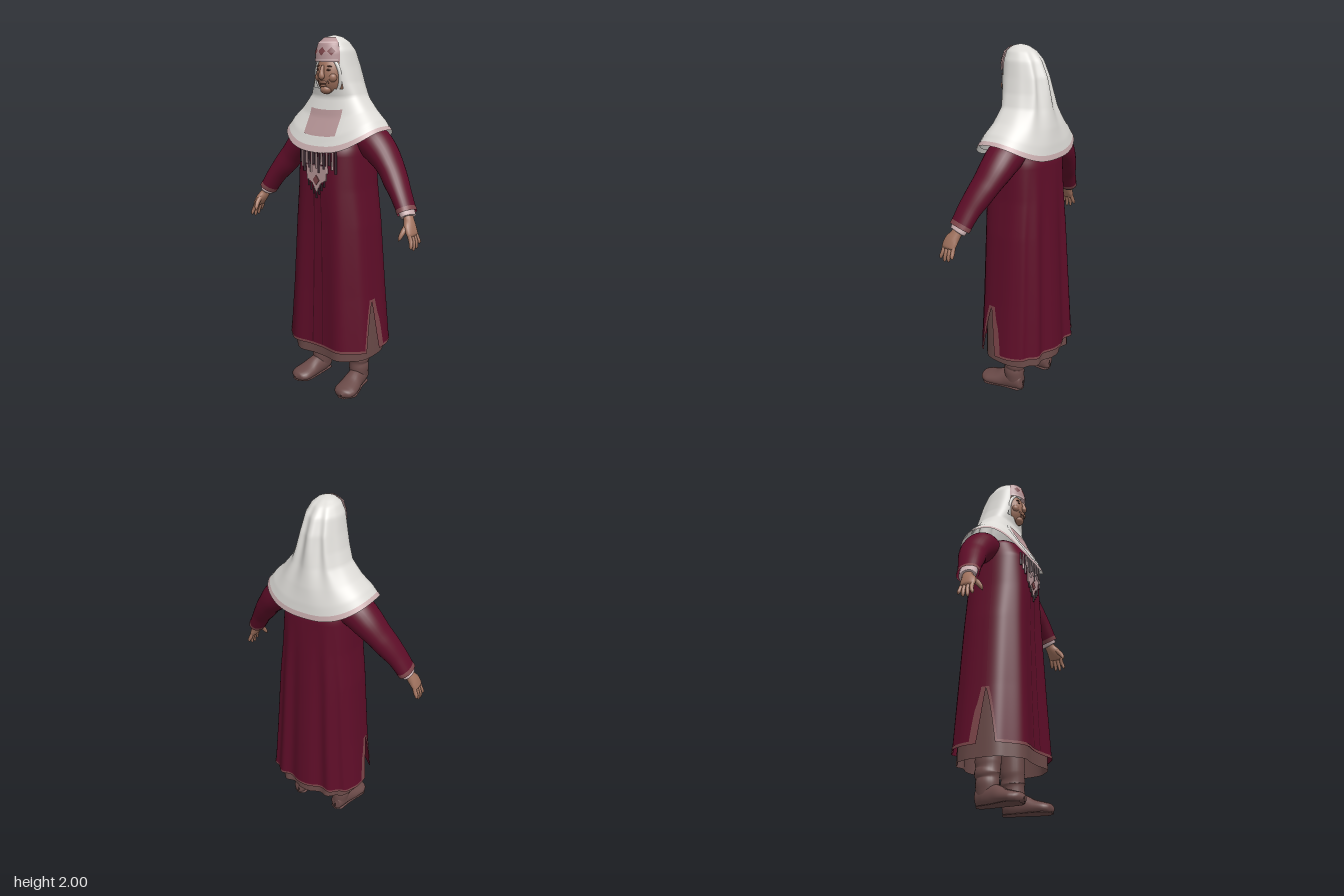
import * as THREE from 'three';
import { mergeVertices } from 'three/addons/utils/BufferGeometryUtils.js';

const mat = (name, color) =>
  new THREE.MeshStandardMaterial({ name, color, side: THREE.DoubleSide });
const M = {
  robe: mat('crimson cloth', 0x5e0d28), seam: mat('dark crimson seam', 0x3e0819),
  trim: mat('rose brown trim', 0x7c4549), brown: mat('brown cloth and leather', 0x6a4a48),
  skin: mat('skin', 0xa0725e), skinDark: mat('skin lines', 0x6a4436),
  veil: mat('white linen', 0xdedcd8), veilTrim: mat('pale pink edging', 0xcbb0b1),
  pink: mat('pink embroidery', 0xb79698), metal: mat('dark ornament', 0x4c3640),
};

// Surface from f(u, v), with v running downward and u counterclockwise from above
function grid(nu, nv, f) {
  const pos = [], idx = [];
  for (let j = 0; j <= nv; j++) for (let i = 0; i <= nu; i++) pos.push(...f(i / nu, j / nv));
  for (let j = 0; j < nv; j++) for (let i = 0; i < nu; i++) {
    const a = j * (nu + 1) + i, c = a + nu + 1;
    idx.push(a, c, a + 1, a + 1, c, c + 1);
  }
  let g = new THREE.BufferGeometry();
  g.setAttribute('position', new THREE.Float32BufferAttribute(pos, 3));
  g.setIndex(idx);
  g = mergeVertices(g, 1e-5);
  g.computeVertexNormals();
  return g;
}

// Interpolated row of a table keyed by its first column (ascending)
function row(table, t) {
  let i = 1;
  while (i < table.length - 1 && table[i][0] < t) i++;
  const a = table[i - 1], b = table[i];
  const k = THREE.MathUtils.clamp((t - a[0]) / (b[0] - a[0]), 0, 1);
  return a.map((n, c) => n + (b[c] - n) * k);
}
const spow = (n, p) => Math.sign(n) * Math.abs(n) ** p;
const { lerp } = THREE.MathUtils;

// Tapered limb through points [x, y, z, radiusAcross, radiusAlongRef]
function limb(pts, ref = [0, 0, 1], floor = -9, n = 20, m = 18) {
  const c = new THREE.CatmullRomCurve3(pts.map(p => new THREE.Vector3(p[0], p[1], p[2])));
  const r = new THREE.CatmullRomCurve3(pts.map(p => new THREE.Vector3(p[3], p[4], 0)));
  return grid(m, n, (u, v) => {
    const t = c.getTangent(v), p = c.getPoint(v), q = r.getPoint(v);
    const b = new THREE.Vector3(...ref).addScaledVector(t, -t.dot(new THREE.Vector3(...ref))).normalize();
    const w = new THREE.Vector3().crossVectors(b, t), a = u * Math.PI * 2;
    p.addScaledVector(w, q.x * Math.cos(a)).addScaledVector(b, -q.y * Math.sin(a));
    return [p.x, Math.max(p.y, floor), p.z];
  });
}

// Robe: height, half width, front z, back z, fold depth
const ROBE = [
  [0.22, 0.3, 0.215, -0.215, 0.014], [0.6, 0.265, 0.203, -0.2, 0.012], [1, 0.234, 0.195, -0.183, 0.008],
  [1.2, 0.21, 0.196, -0.175, 0.004], [1.4, 0.198, 0.193, -0.165, 0], [1.5, 0.18, 0.145, -0.135, 0],
  [1.56, 0.09, 0.08, -0.07, 0],
];
const RP = 0.72;
function robePoint(a, y, grow = 0) {
  const [, hx, zf, zb, amp] = row(ROBE, y), c = Math.cos(a);
  const fold = amp * Math.abs(c) * (c > 0 ? -Math.cos(7 * a) : Math.cos(13 * (a - Math.PI)));
  const z = c > 0 ? zf + grow + fold : -zb + grow + fold;
  return [(hx + grow) * spow(Math.sin(a), RP), y, z * spow(c, RP)];
}
const robeAngle = (x, y) => Math.asin(spow(x / row(ROBE, y)[1], 1 / RP));
const robeZ = (x, y) => robePoint(robeAngle(x, y), y)[2];
// Side slit between the front and back panels
const slit = y => Math.max(0, (0.57 - y) / 0.29);
const frontEdge = y => 1.44 - 0.26 * slit(y) ** 0.8;
const backEdge = y => 1.44 + 0.12 * slit(y) ** 0.8;

// Veil: v, height, half width, front z, back z, share of hem drop
const VEIL = [
  [0, 2, 0, 0.04, 0.04, 0], [0.06, 1.99, 0.042, 0.085, 0, 0], [0.14, 1.965, 0.072, 0.115, -0.045, 0],
  [0.24, 1.92, 0.096, 0.125, -0.085, 0], [0.36, 1.84, 0.112, 0.125, -0.118, 0],
  [0.5, 1.76, 0.132, 0.115, -0.135, 0], [0.62, 1.69, 0.158, 0.1, -0.15, 0.1],
  [0.75, 1.62, 0.215, 0.13, -0.172, 0.35], [0.88, 1.57, 0.267, 0.178, -0.187, 0.7],
  [1, 1.52, 0.305, 0.207, -0.195, 1],
];
const OPENING = [[0, 0], [0.09, 0], [0.13, 0.55], [0.2, 0.8], [0.5, 0.72], [0.75, 0.6], [0.89, 0.42], [0.94, 0]];
const veilPower = v => 1 - 0.22 * v;
function veilPoint(a, v, k = 1) {
  const [, y, hx, zf, zb, s] = row(VEIL, v), c = Math.cos(a), p = veilPower(v), zc = 0.04 * (1 - v);
  const fold = c < 0 ? 0.013 * Math.sin(Math.PI * Math.min(1, v * 1.05)) ** 2 * Math.cos(9 * (a - Math.PI)) * -c : 0;
  const z = zc + spow(c, p) * (c > 0 ? zf - zc : zc - zb + fold);
  return [hx * k * spow(Math.sin(a), p), y - s * c * c * (c > 0 ? 0.12 : 0.1), z * k];
}

export function createModel() {
  const model = new THREE.Group();
  const add = (name, geo, m, parent = model) => {
    const mesh = new THREE.Mesh(geo, m);
    mesh.name = name;
    parent.add(mesh);
    return mesh;
  };
  const ball = (name, m, p, s, parent) => {
    const b = add(name, new THREE.SphereGeometry(1, 24, 18), m, parent);
    b.position.set(...p);
    b.scale.set(...s);
    return b;
  };

  // Robe panels, hem bands and slit edging
  const TOP = 1.56, HEM = 0.28, PI = Math.PI;
  const front = (u, y, g) => robePoint(lerp(-frontEdge(y), frontEdge(y), u), y, g);
  const back = (u, y, g) => robePoint(lerp(backEdge(y), 2 * PI - backEdge(y), u), y, g);
  for (const [name, f] of [['Front', front], ['Back', back]]) {
    add('robe' + name, grid(72, 64, (u, v) => f(u, lerp(TOP, HEM, v))), M.robe);
    add('hemBand' + name, grid(72, 1, (u, v) => f(u, lerp(0.295, HEM, v), 0.003)), M.trim);
    for (const s of [0, 1]) add('slitEdging' + name, grid(2, 16, (u, v) =>
      f(s ? 1 - 0.025 * (1 - u) : 0.025 * u, lerp(0.58, HEM, v), 0.003)), M.trim);
  }
  for (const x of [-0.035, 0.035]) add('frontSeam', grid(1, 40, (u, v) => {
    const y = lerp(1.3, 0.3, v);
    return robePoint(robeAngle(x * (0.6 + 0.4 * v) + (u - 0.5) * 0.005, y), y, 0.002);
  }), M.seam);

  // Underskirt showing below the hem and in the slits
  add('underskirt', grid(96, 8, (u, v) => {
    const y = lerp(0.62, 0.22, v), p = robePoint(u * 2 * PI, y);
    return [p[0] * lerp(0.95, 0.86, v), y, p[2] * lerp(0.93, 0.92, v)];
  }), M.brown);

  // Sleeves, hands and boots, mirrored
  for (const side of [1, -1]) {
    const half = new THREE.Group();
    half.name = side > 0 ? 'leftLimbs' : 'rightLimbs';
    half.scale.x = side;
    model.add(half);
    add('sleeve', limb([[0.13, 1.47, -0.02, 0.06, 0.09], [0.21, 1.45, -0.02, 0.092, 0.1], [0.28, 1.395, -0.015, 0.082, 0.095],
      [0.345, 1.325, 0, 0.066, 0.083], [0.39, 1.265, 0.02, 0.062, 0.076], [0.435, 1.205, 0.04, 0.052, 0.068],
      [0.488, 1.12, 0.06, 0.045, 0.062]], undefined, -9, 32, 28), M.robe, half);
    add('sleeveBand', limb([[0.477, 1.137, 0.056, 0.048, 0.065], [0.49, 1.117, 0.061, 0.047, 0.064]], undefined, -9, 2, 28), M.trim, half);
    add('cuff', limb([[0.475, 1.14, 0.056, 0.038, 0.052], [0.5, 1.1, 0.065, 0.035, 0.048], [0.502, 1.097, 0.066, 0.02, 0.03]],
      undefined, -9, 8), M.veilTrim, half);
    add('palm', limb([[0.49, 1.12, 0.062, 0.022, 0.03], [0.508, 1.085, 0.072, 0.025, 0.032], [0.528, 1.05, 0.088, 0.024, 0.044],
      [0.544, 1.02, 0.093, 0.018, 0.044], [0.55, 1.005, 0.093, 0.001, 0.03]]), M.skin, half);
    for (let i = 0; i < 4; i++) {
      const z = 0.059 + i * 0.022, tip = [0.965, 0.945, 0.94, 0.952][i];
      add('finger', limb([[0.54, 1.03, z, 0.01, 0.01], [0.553, 0.995, z - 0.002, 0.0115, 0.0115],
        [0.561, (0.995 + tip) / 2, z - 0.004 + i * 0.003, 0.01, 0.01], [0.562, tip + 0.008, z - 0.006 + i * 0.005, 0.008, 0.008],
        [0.562, tip, z - 0.006 + i * 0.005, 0.001, 0.001]], undefined, -9, 10, 10), M.skin, half);
    }
    add('thumb', limb([[0.515, 1.07, 0.1, 0.013, 0.014], [0.514, 1.04, 0.132, 0.014, 0.014], [0.508, 1.01, 0.152, 0.011, 0.011],
      [0.503, 0.99, 0.159, 0.001, 0.001]], [1, 0, 0], -9, 10, 10), M.skin, half);

    add('bootShaft', limb([[0.128, 0.42, -0.01, 0.055, 0.068], [0.132, 0.23, -0.012, 0.06, 0.07], [0.135, 0.19, -0.01, 0.056, 0.066],
      [0.138, 0.165, -0.012, 0.06, 0.069], [0.138, 0.14, -0.01, 0.053, 0.062], [0.14, 0.115, -0.01, 0.056, 0.063],
      [0.14, 0.08, -0.01, 0.052, 0.062], [0.14, 0.04, -0.01, 0.045, 0.058]], undefined, -9, 40, 24), M.brown, half);
    add('bootFoot', limb([[0.137, 0.045, -0.074, 0.004, 0.02], [0.138, 0.045, -0.064, 0.034, 0.045], [0.14, 0.055, -0.02, 0.047, 0.062],
      [0.147, 0.048, 0.04, 0.05, 0.06], [0.157, 0.035, 0.1, 0.062, 0.045], [0.165, 0.028, 0.155, 0.066, 0.036],
      [0.172, 0.025, 0.19, 0.048, 0.028], [0.175, 0.022, 0.209, 0.003, 0.006]], [0, 1, 0], 0.004, 32, 24), M.brown, half);
    add('sole', limb([[0.138, 0.005, -0.07, 0.01, 0.006], [0.138, 0.005, -0.055, 0.038, 0.006], [0.145, 0.005, 0.03, 0.048, 0.006],
      [0.165, 0.005, 0.15, 0.066, 0.006], [0.173, 0.005, 0.2, 0.025, 0.006]], [0, 1, 0], 0), M.brown, half);
  }

  // Face
  const head = new THREE.Group();
  head.name = 'head';
  model.add(head);
  ball('face', M.skin, [0, 1.8, 0.06], [0.08, 0.115, 0.087], head);
  ball('chin', M.skin, [0, 1.722, 0.112], [0.032, 0.024, 0.03], head);
  add('nose', limb([[0, 1.845, 0.135, 0.009, 0.012], [0, 1.815, 0.146, 0.012, 0.014], [0, 1.79, 0.15, 0.018, 0.016],
    [0, 1.776, 0.143, 0.006, 0.008]]), M.skin, head);
  for (const s of [1, -1]) {
    ball('cheek', M.skin, [s * 0.042, 1.785, 0.112], [0.026, 0.026, 0.024], head);
    ball('eye', M.skinDark, [s * 0.032, 1.824, 0.134], [0.014, 0.005, 0.006], head);
    ball('brow', M.skinDark, [s * 0.034, 1.843, 0.129], [0.018, 0.004, 0.007], head).rotation.z = -s * 0.12;
    const fold = ball('cheekLine', M.skinDark, [s * 0.029, 1.768, 0.134], [0.0025, 0.016, 0.004], head);
    fold.rotation.z = s * 0.45;
  }
  ball('upperLip', M.skin, [0, 1.761, 0.135], [0.024, 0.009, 0.011], head);
  ball('mouth', M.skinDark, [0, 1.752, 0.14], [0.024, 0.0035, 0.006], head);
  ball('lowerLip', M.skin, [0, 1.744, 0.136], [0.019, 0.007, 0.009], head);

  // Embroidered headband
  const BAND = [[1.865, 0.09], [1.91, 0.088], [1.96, 0.074], [1.988, 0.04]];
  const band = (a, y, g = 0) => {
    const r = row(BAND, y)[1] + g;
    return [r * Math.sin(a), y, 0.06 + r * Math.cos(a)];
  };
  add('headband', grid(24, 14, (u, v) => band(lerp(-1.15, 1.15, u), lerp(1.988, 1.865, v))), M.pink, head);
  for (const y of [1.875, 1.962]) add('headbandEdge', grid(24, 1, (u, v) =>
    band(lerp(-1, 1, u), y + 0.004 - 0.008 * v, 0.002)), M.veilTrim, head);
  for (const a of [-0.62, 0, 0.62]) add('headbandDiamond', grid(8, 8, (u, v) =>
    band(a + (u - v) * 0.26, 1.94 - (u + v) * 0.022, 0.002)), M.trim, head);

  // White edge framing the face
  const ring = Array.from({ length: 24 }, (_, i) => {
    const a = (i / 24) * 2 * PI;
    return new THREE.Vector3(0.08 * Math.sin(a), 1.79 + 0.1 * Math.cos(a), 0.092 + 0.012 * Math.cos(a));
  });
  add('faceWrap', new THREE.TubeGeometry(new THREE.CatmullRomCurve3(ring, true), 48, 0.01, 8, true), M.veil, head);

  // Veil, edging and inner chest cloth
  add('veil', grid(96, 60, (u, v) => {
    const o = row(OPENING, v)[1];
    return veilPoint(lerp(o, 2 * PI - o, u), v);
  }), M.veil);
  add('veilEdging', grid(96, 2, (u, v) => veilPoint(u * 2 * PI, lerp(0.955, 1, v), 1.008)), M.veilTrim);
  add('chestCloth', grid(40, 24, (u, v) => veilPoint(lerp(-1.1, 1.1, u), lerp(0.55, 0.97, v), 0.975)), M.veil);
  add('chestPanel', grid(16, 12, (u, v) => {
    const t = lerp(0.7, 0.885, v), x = lerp(-0.105, 0.105, u);
    return veilPoint(Math.asin(spow(x / row(VEIL, t)[2], 1 / veilPower(t))), t, 1.006);
  }), M.pink);

  // Breast ornament with tassels and a pointed pendant
  for (let i = 0; i < 15; i++) {
    const x = (i - 7) * 0.017, len = 0.08 + 0.022 * (i % 3);
    const t = add('tassel', new THREE.CylinderGeometry(0.005, 0.007, len, 6), i % 2 ? M.pink : M.metal);
    t.position.set(x, 1.415 - len / 2, robeZ(x, 1.37) + 0.006);
  }
  const plate = (name, pts, z, m) => {
    const g = new THREE.ExtrudeGeometry(new THREE.Shape(pts.map(p => new THREE.Vector2(...p))), { depth: 0.006, bevelEnabled: false });
    add(name, g, m).position.z = z;
  };
  plate('pendant', [[-0.07, 1.33], [-0.065, 1.25], [-0.03, 1.235], [0, 1.18], [0.03, 1.235], [0.065, 1.25], [0.07, 1.33]], 0.194, M.pink);
  plate('pendantStone', [[-0.022, 1.25], [0, 1.222], [0.022, 1.25], [0, 1.278]], 0.198, M.trim);
  for (let i = -3; i <= 3; i++) {
    const drop = add('pendantDrop', new THREE.CylinderGeometry(0.004, 0.005, 0.035, 6), M.metal);
    drop.position.set(i * 0.018, 1.168 + Math.abs(i) * 0.022, 0.2);
  }
  return model;
}
